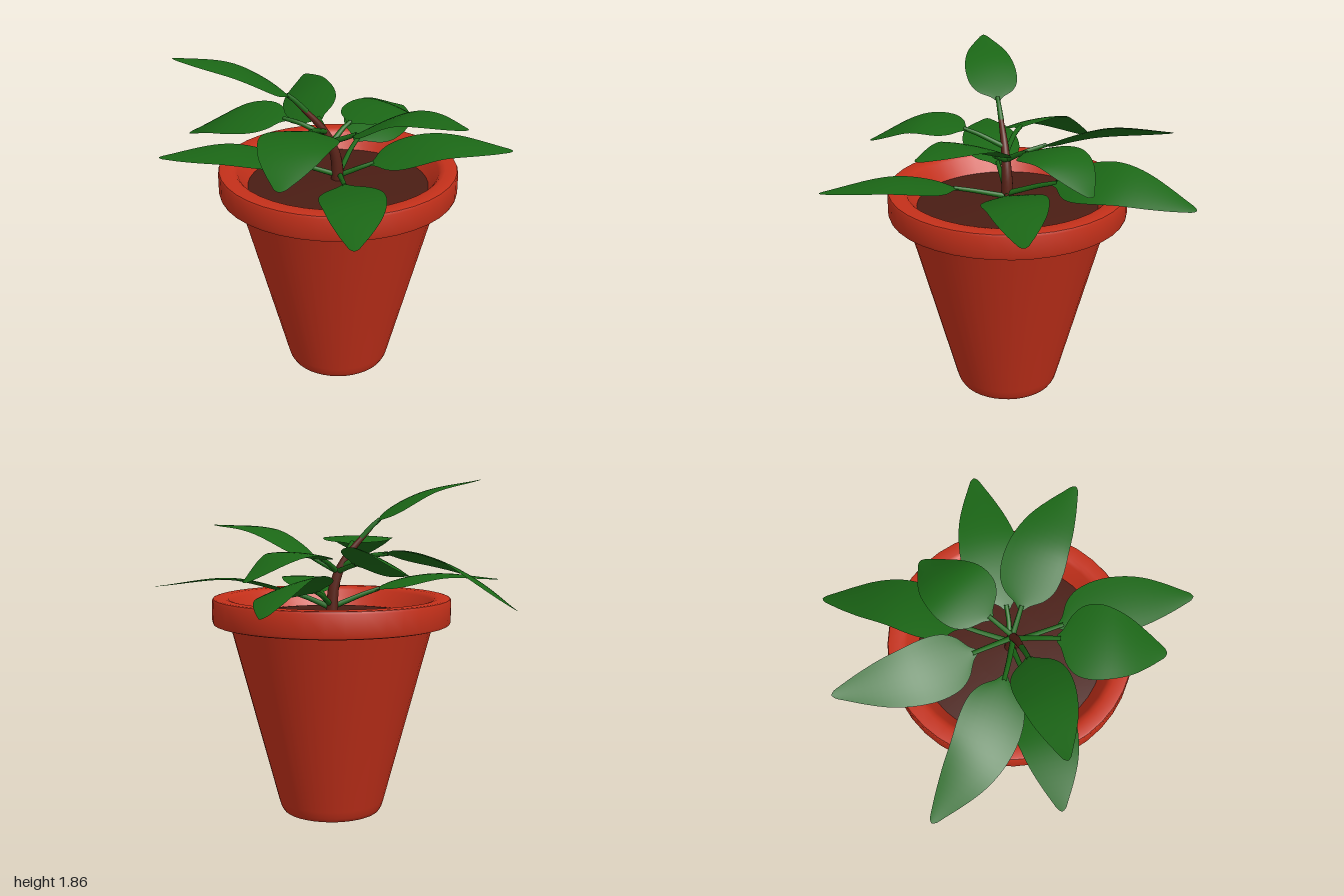
import * as THREE from 'three';
import { toCreasedNormals } from 'three/addons/utils/BufferGeometryUtils.js';

const V = (p) => new THREE.Vector3(...p);
const V2 = (p) => new THREE.Vector2(...p);
const paint = (color) => new THREE.MeshStandardMaterial({ color });
const clay = paint(0xc4301a), earth = paint(0x4a1d14), bark = paint(0x5a2318);
const green = paint(0x1b6716);
green.side = THREE.DoubleSide;

function part(name, geometry, material) {
  const mesh = new THREE.Mesh(geometry, material);
  mesh.name = name;
  return mesh;
}

// Tube whose rings shrink from radius r0 to r1
function taperedTube(curve, r0, r1, rings, sides) {
  const g = new THREE.TubeGeometry(curve, rings, r0, sides);
  const pos = g.attributes.position, v = new THREE.Vector3();
  for (let i = 0; i < pos.count; i++) {
    const t = Math.floor(i / (sides + 1)) / rings;
    const c = curve.getPointAt(t);
    v.fromBufferAttribute(pos, i).sub(c).multiplyScalar(1 + (r1 / r0 - 1) * t).add(c);
    pos.setXYZ(i, v.x, v.y, v.z);
  }
  return g;
}

// Blade outline: distance along the blade, share of the half width
const outline = new THREE.SplineCurve([
  [0, 0.1], [0.05, 0.26], [0.12, 0.66], [0.22, 0.92], [0.36, 1], [0.52, 0.93],
  [0.68, 0.76], [0.82, 0.5], [0.93, 0.25], [0.98, 0.13], [1, 0.02],
].map(V2));

// Leaf along a curve: stalk start, blade base, middle, tip; roll lifts its right edge
function leaf({ name, path, half, roll = 0 }) {
  const group = new THREE.Group();
  group.name = name;
  const curve = new THREE.CatmullRomCurve3(path.map(V));
  const rows = 32, cols = 8, verts = [], index = [];
  for (let i = 0; i <= rows; i++) {
    const o = outline.getPoint(i / rows);
    const t = Math.min(1, 1 / 3 + (2 / 3) * o.x);
    const c = curve.getPoint(t), dir = curve.getTangent(t);
    const right = new THREE.Vector3(-dir.z, 0, dir.x).normalize();
    const up = right.clone().cross(dir);
    const side = right.clone().multiplyScalar(Math.cos(roll)).addScaledVector(up, Math.sin(roll));
    const normal = side.clone().cross(dir);
    for (let j = 0; j <= cols; j++) {
      const u = (j / cols) * 2 - 1;
      const p = c.clone().addScaledVector(side, u * half * o.y)
        .addScaledVector(normal, -0.012 * u * u * o.y);
      verts.push(p.x, p.y, p.z);
      if (i < rows && j < cols) {
        const a = i * (cols + 1) + j, b = a + cols + 1;
        index.push(a, a + 1, b, a + 1, b + 1, b);
      }
    }
  }
  const g = new THREE.BufferGeometry();
  g.setAttribute('position', new THREE.Float32BufferAttribute(verts, 3));
  g.setIndex(index);
  g.computeVertexNormals();
  group.add(part('blade', g, green));
  const stalk = new THREE.CatmullRomCurve3([0, 0.12, 0.24, 0.36].map((t) => curve.getPoint(t)));
  group.add(part('stalk', taperedTube(stalk, 0.016, 0.012, 10, 8), green));
  return group;
}

const leaves = [
  { name: 'backLeaf', half: 0.165, roll: 0.5,
    path: [[-0.04, 1.36, -0.03], [-0.07, 1.41, -0.24], [-0.11, 1.46, -0.58], [-0.06, 1.44, -1]] },
  { name: 'backRightLeaf', half: 0.18, roll: -0.35,
    path: [[0.01, 1.18, -0.03], [0.14, 1.27, -0.25], [0.37, 1.34, -0.54], [0.565, 1.23, -0.91]] },
  { name: 'upperRightLeaf', half: 0.185,
    path: [[-0.03, 1.36, -0.03], [0.07, 1.43, -0.11], [0.3, 1.48, -0.25], [0.55, 1.34, -0.35]] },
  { name: 'rightLeaf', half: 0.172, roll: -0.1,
    path: [[0.01, 1.16, -0.03], [0.17, 1.23, 0.01], [0.53, 1.33, 0.03], [0.96, 1.29, 0.09]] },
  { name: 'frontRightLeaf', half: 0.165,
    path: [[-0.03, 1.36, -0.03], [0.07, 1.42, 0.05], [0.31, 1.58, 0.24], [0.56, 1.6, 0.53]] },
  { name: 'frontLeaf', half: 0.17, roll: -0.06,
    path: [[0.01, 1.16, -0.03], [-0.01, 1.22, 0.24], [-0.02, 1.275, 0.6], [-0.09, 1.22, 0.99]] },
  { name: 'frontLeftLeaf', half: 0.205,
    path: [[-0.07, 1.42, -0.03], [-0.17, 1.5, 0.16], [-0.29, 1.53, 0.4], [-0.4, 1.4, 0.68]] },
  { name: 'lowerLeftLeaf', half: 0.165,
    path: [[0, 1.16, -0.03], [-0.25, 1.25, -0.03], [-0.6, 1.33, -0.04], [-0.97, 1.3, -0.1]] },
  { name: 'topLeaf', half: 0.145,
    path: [[-0.17, 1.54, -0.03], [-0.26, 1.63, -0.03], [-0.53, 1.79, -0.03], [-0.86, 1.86, -0.06]] },
  { name: 'backLeftLeaf', half: 0.165, roll: 0.3,
    path: [[-0.05, 1.39, -0.03], [-0.26, 1.46, -0.15], [-0.56, 1.41, -0.38], [-0.79, 1.2, -0.73]] },
];

export function createModel() {
  const model = new THREE.Group();
  model.name = 'pottedPlant';

  // Pot with a thick rim, turned in one piece
  const profile = [
    [0, 0.005], [0.25, 0], [0.275, 0.008], [0.288, 0.03], [0.3, 0.07], [0.56, 1.06], [0.565, 1.075],
    [0.64, 1.075], [0.655, 1.08], [0.66, 1.095], [0.66, 1.205], [0.655, 1.217], [0.645, 1.22],
    [0.59, 1.22], [0.57, 1.215], [0.555, 1.2], [0.52, 1.14], [0.48, 1.08],
  ].map(V2);
  const pot = part('pot', toCreasedNormals(new THREE.LatheGeometry(profile, 40), 0.8), clay);
  pot.position.z = -0.03;
  model.add(pot);

  // Soil, slightly domed
  const mound = [[0.52, 1.11], [0.4, 1.125], [0.2, 1.135], [0, 1.14]].map(V2);
  const soil = part('soil', new THREE.LatheGeometry(mound, 40), earth);
  soil.position.z = -0.03;
  model.add(soil);

  // Leaning stem
  const stemPath = new THREE.CatmullRomCurve3(
    [[0, 1.1, -0.03], [-0.015, 1.28, -0.03], [-0.08, 1.43, -0.03], [-0.24, 1.61, -0.03]].map(V));
  model.add(part('stem', taperedTube(stemPath, 0.038, 0.01, 20, 12), bark));

  leaves.forEach((spec) => model.add(leaf(spec)));
  return model;
}
